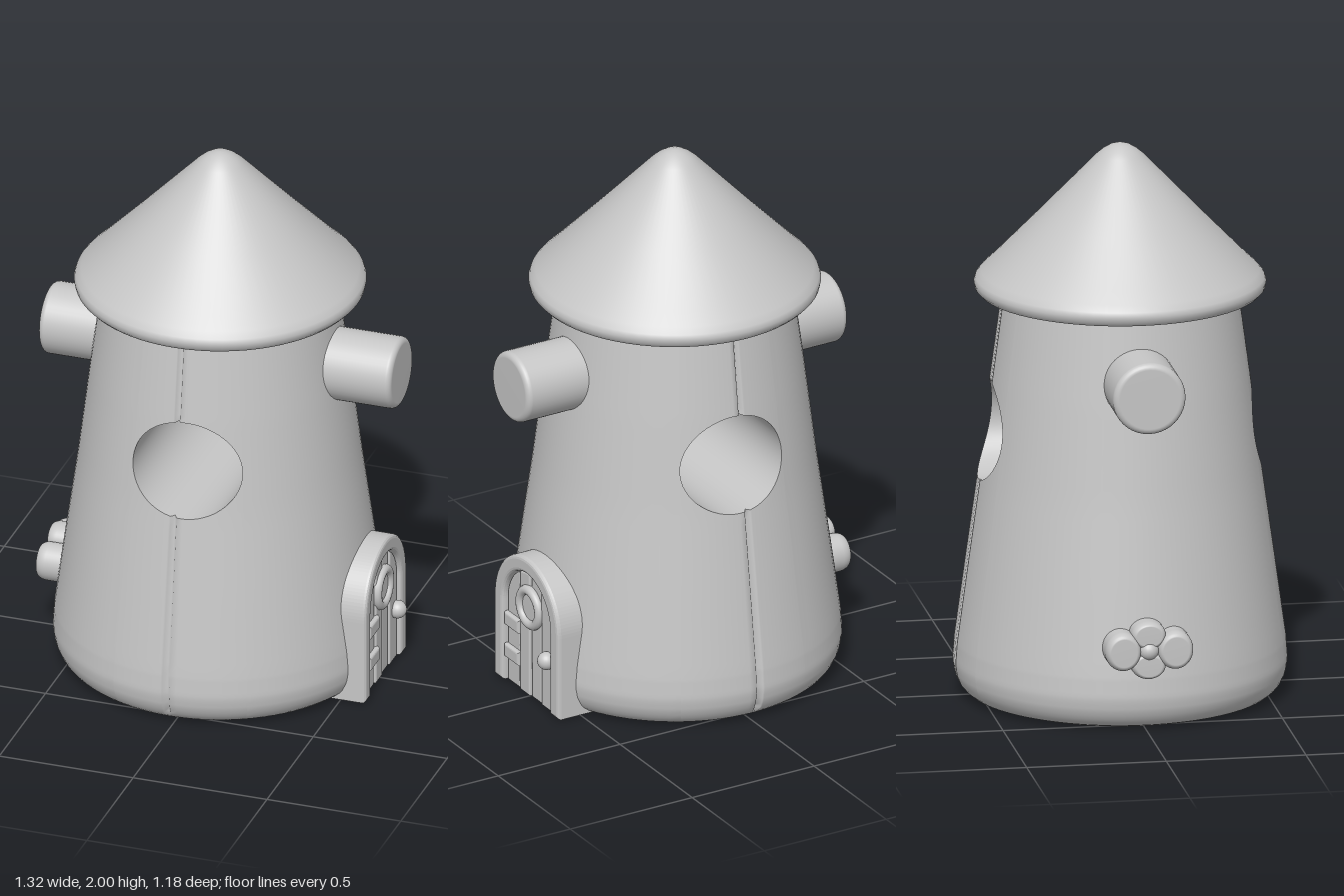
import * as THREE from 'three';
import { mergeGeometries, mergeVertices } from 'three/addons/utils/BufferGeometryUtils.js';

const CX = -0.02; // axis of tower and roof

// Tower radius by height
const PROFILE = [[0.50, 0], [0.54, 0.012], [0.567, 0.035], [0.585, 0.075], [0.592, 0.12],
  [0.586, 0.2], [0.545, 0.5], [0.503, 0.8], [0.46, 1.15], [0.417, 1.47]];

function radius(y) {
  let i = 1;
  while (i < PROFILE.length - 1 && y > PROFILE[i][1]) i++;
  const [r0, y0] = PROFILE[i - 1], [r1, y1] = PROFILE[i];
  return r0 + (r1 - r0) * (y - y0) / (y1 - y0);
}

// Point on the tower wall, with a narrow seam down the front and back
function wallPoint(a, y) {
  const dent = y > 0.03 ? 0.018 * Math.max(0, 1 - Math.abs(Math.sin(a)) / 0.022) : 0;
  const r = radius(y) - dent;
  return [CX + r * Math.sin(a), y, r * Math.cos(a)];
}

// Surface through rows of points: rows[j][i]
function loft(rows) {
  const n = rows[0].length, index = [];
  for (let j = 0; j < rows.length - 1; j++) {
    for (let i = 0; i < n - 1; i++) {
      const a = j * n + i, b = a + 1, c = b + n, d = a + n;
      index.push(a, b, c, a, c, d);
    }
  }
  const g = new THREE.BufferGeometry();
  g.setAttribute('position', new THREE.Float32BufferAttribute(rows.flat(2), 3));
  g.setIndex(index);
  return g;
}

function smooth(g) {
  const m = mergeVertices(g, 1e-4);
  m.computeVertexNormals();
  return m;
}

// Round-edged peg along x, from x = 0 to x = length
function peg(r, length, bevel) {
  const pts = [new THREE.Vector2(r, 0)];
  for (let i = 0; i <= 6; i++) {
    const t = i / 6 * Math.PI / 2;
    pts.push(new THREE.Vector2(r - bevel + bevel * Math.cos(t), length - bevel + bevel * Math.sin(t)));
  }
  pts.push(new THREE.Vector2(0, length));
  return new THREE.LatheGeometry(pts, 40).rotateZ(-Math.PI / 2);
}

// Extrudes a shape towards +x, ending at x1
function plate(shape, x0, x1, bevel) {
  return new THREE.ExtrudeGeometry(shape, {
    depth: x1 - x0 - bevel, bevelEnabled: true, bevelThickness: bevel, bevelSize: bevel,
    bevelOffset: -bevel, bevelSegments: 3, curveSegments: 28,
  }).rotateY(Math.PI / 2).translate(x0, 0, 0);
}

export function createModel() {
  const model = new THREE.Group();
  const clay = new THREE.MeshStandardMaterial({ color: 0xc6c6c6, side: THREE.DoubleSide });
  clay.name = 'clay grey';
  const add = (name, geometry, parent = model) => {
    const mesh = new THREE.Mesh(geometry, clay);
    mesh.name = name;
    parent.add(mesh);
    return mesh;
  };

  // Columns of the wall; those crossing the round opening carry its half height
  const hole = { x: 0.03, y: 0.967, rx: 0.2, ry: 0.18, r: 0.483 };
  const holeAngles = [-0.022, 0, 0.022];
  for (let i = 0; i <= 40; i++) {
    const a = Math.asin((hole.x - hole.rx * Math.cos(i / 40 * Math.PI)) / hole.r);
    if (Math.abs(a) > 0.03) holeAngles.push(a);
  }
  holeAngles.sort((p, q) => p - q);
  const front = holeAngles.map((a) => {
    const k = (Math.sin(a) * hole.r - hole.x) / hole.rx;
    return { a, h: hole.ry * Math.sqrt(Math.max(0, 1 - k * k)) };
  });
  const back = front.map(({ a, h }) => ({ a: Math.PI - a, h })).reverse();
  const side = (from, to) => Array.from({ length: 31 }, (_, i) => ({ a: from + (to - from) * (i + 1) / 32, h: 0 }));
  const first = front[0].a, last = front[front.length - 1].a;
  const columns = [...front, ...side(last, Math.PI - last), ...back,
    ...side(Math.PI - first, 2 * Math.PI + first), { a: first + 2 * Math.PI, h: 0 }];

  // Tower wall
  const STEPS = 14;
  const band = (low, high) => loft(Array.from({ length: STEPS + 1 }, (_, j) =>
    columns.map((c) => wallPoint(c.a, low(c) + (high(c) - low(c)) * j / STEPS))));
  add('towerWall', smooth(mergeGeometries([
    band(() => 0, () => 0.2),
    band(() => 0.2, (c) => hole.y - c.h),
    band((c) => hole.y + c.h, () => 1.47),
  ])));
  add('towerFloor', new THREE.CircleGeometry(0.5, 64).rotateX(Math.PI / 2).translate(CX, 0, 0));

  // Tunnel through the tower
  const rim = [...front.map((c) => wallPoint(c.a, hole.y - c.h)),
    ...front.map((c) => wallPoint(c.a, hole.y + c.h)).reverse()];
  add('tunnel', smooth(loft([1, 0.5, 0, -0.5, -1].map((s) => rim.map(([x, y, z]) => [x, y, z * s])))));

  // Conical roof with a rounded brim and tip
  const roof = [[0, 1.46], [0.3, 1.46], [0.48, 1.46], [0.5, 1.464], [0.513, 1.478], [0.517, 1.498],
    [0.511, 1.515], [0.492, 1.538], [0.45, 1.578], [0.3, 1.732], [0.085, 1.957], [0.06, 1.978],
    [0.035, 1.993], [0.015, 1.999], [0, 2]];
  add('roof', new THREE.LatheGeometry(roof.map((p) => new THREE.Vector2(...p)), 72).translate(CX, 0, 0));

  // Side beams
  add('leftBeam', peg(0.13, 0.28, 0.022).translate(0.378, 1.23, 0));
  add('rightBeam', peg(0.13, 0.28, 0.022).rotateY(Math.PI).translate(-0.378, 1.23, 0));

  // Arched door on the left side
  const door = new THREE.Group();
  door.name = 'door';
  door.position.set(0, 0.005, -0.01);
  model.add(door);
  const R = 0.223, r = 0.163, top = 0.317;
  const arch = new THREE.Shape();
  arch.moveTo(-R, 0).lineTo(-R, top).absarc(0, top, R, Math.PI, 0, true).lineTo(R, 0);
  arch.lineTo(r, 0).lineTo(r, top).absarc(0, top, r, 0, Math.PI, false).lineTo(-r, 0);
  add('doorFrame', plate(arch, 0.44, 0.597, 0.014), door);

  // Planks cut to the arch
  const cuts = [-0.163, -0.07, 0.003, 0.078, 0.163];
  for (let i = 0; i < 4; i++) {
    const u0 = cuts[i] + 0.004, u1 = cuts[i + 1] - 0.004;
    const plank = new THREE.Shape();
    plank.moveTo(u0, 0).lineTo(u1, 0);
    for (let k = 0; k <= 8; k++) {
      const u = u1 + (u0 - u1) * k / 8;
      plank.lineTo(u, top + Math.sqrt(r * r - u * u) - 0.004);
    }
    add('doorPlank', plate(plank, 0.46, i % 2 ? 0.582 : 0.577, 0.006), door);
  }
  for (const y of [0.12, 0.245]) {
    const hinge = new THREE.Shape();
    hinge.moveTo(-0.158, y - 0.026).lineTo(-0.06, y - 0.026).lineTo(-0.06, y + 0.026).lineTo(-0.158, y + 0.026);
    add('doorHinge', plate(hinge, 0.54, 0.594, 0.008), door);
  }
  add('doorRing', new THREE.TorusGeometry(0.065, 0.018, 12, 40).rotateY(Math.PI / 2).translate(0.583, 0.35, -0.005), door);
  add('doorRingPane', peg(0.055, 0.04, 0.004).translate(0.545, 0.35, -0.005), door);
  add('doorKnob', new THREE.SphereGeometry(0.033, 24, 16).translate(0.592, 0.198, -0.135), door);

  // Flower on the right side
  const flower = new THREE.Group();
  flower.name = 'flower';
  flower.position.set(-0.53, 0.305, 0);
  model.add(flower);
  const petals = [[0, 0.095, 0.07, 0.064, 0.13], [0, -0.092, 0.07, 0.064, 0.13],
    [0.055, 0, 0.05, 0.062, 0.12], [-0.055, 0, 0.05, 0.062, 0.12]];
  for (const [y, z, ry, rz, length] of petals) {
    add('petal', peg(1, 1, 0.28).rotateY(Math.PI).scale(length, ry, rz).translate(0, y, z), flower);
  }
  add('flowerCentre', new THREE.SphereGeometry(0.035, 20, 14).translate(-0.1, 0, 0), flower);

  return model;
}
